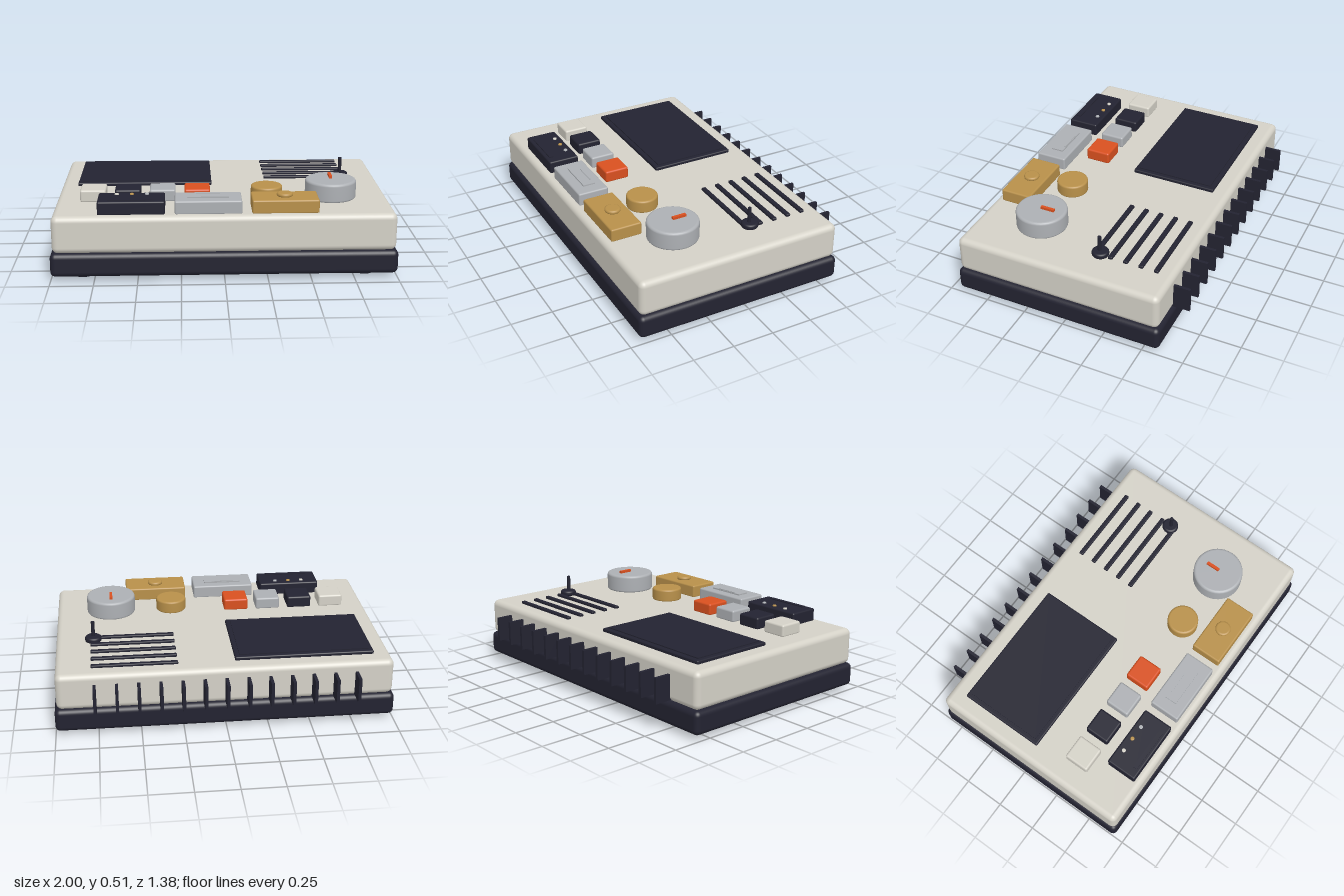
import * as THREE from 'three';
import { RoundedBoxGeometry } from 'three/addons/geometries/RoundedBoxGeometry.js';

const mat = (name, color) => {
  const m = new THREE.MeshStandardMaterial({ color });
  m.name = name;
  return m;
};

export function createModel() {
  const root = new THREE.Group();
  root.name = 'controlConsole';
  const cream = mat('cream', 0xd4d1c7);
  const dark = mat('charcoal', 0x232331);
  const grey = mat('grey', 0xadb0b4);
  const brass = mat('brass', 0xb8904a);
  const orange = mat('orange', 0xd9501f);
  const DECK = 0.39;

  const add = (name, geo, material, x, y, z) => {
    const m = new THREE.Mesh(geo, material);
    m.name = name;
    m.position.set(x, y, z);
    root.add(m);
    return m;
  };
  // Box given by its centre in plan and its bottom and top heights
  const box = (name, material, x, z, w, d, y0, y1, r = 0) => add(name,
    r ? new RoundedBoxGeometry(w, y1 - y0, d, 4, r) : new THREE.BoxGeometry(w, y1 - y0, d),
    material, x, (y0 + y1) / 2, z);
  // Round part with softened rims, its bottom at y0
  const disc = (name, material, x, z, r, y0, y1, b = 0.01) => {
    const h = y1 - y0;
    const pts = [[0, 0], [r - b, 0]];
    for (let i = 0; i <= 4; i++) {
      const a = (i / 4) * Math.PI / 2;
      pts.push([r - b + b * Math.sin(a), b - b * Math.cos(a)]);
    }
    for (let i = 0; i <= 4; i++) {
      const a = (i / 4) * Math.PI / 2;
      pts.push([r - b + b * Math.cos(a), h - b + b * Math.sin(a)]);
    }
    pts.push([r - b, h], [0, h]);
    return add(name, new THREE.LatheGeometry(pts.map(p => new THREE.Vector2(...p)), 40), material, x, y0, z);
  };

  // Casing
  box('base', dark, 0, 0.045, 2, 1.29, 0.033, 0.172, 0.03);
  box('upperBody', cream, 0, 0.045, 1.975, 1.27, 0.17, DECK, 0.035);
  for (const x of [-0.82, 0.82]) {
    for (const z of [0.546, -0.456]) disc('foot', dark, x, z, 0.07, 0.005, 0.04, 0.012);
  }

  // Cooling fins along the back
  for (let i = 0; i < 13; i++) {
    box('coolingFin', dark, -0.765 + i * 0.1275, -0.635, 0.018, 0.11, 0.18, 0.33);
  }

  // Display
  box('displayFrame', dark, -0.472, -0.225, 0.825, 0.53, 0.385, 0.41, 0.008);
  box('displayGlass', dark, -0.472, -0.225, 0.77, 0.475, 0.408, 0.416);

  // Speaker slots
  for (let i = 0; i < 5; i++) {
    box('speakerSlot', dark, 0.527, -0.485 + i * 0.0945, 0.505, 0.028, 0.385, 0.405, 0.006);
  }

  // Small joystick
  disc('joystickBase', dark, 0.762, -0.135, 0.05, 0.388, 0.422, 0.012);
  add('joystickStem', new THREE.CylinderGeometry(0.011, 0.011, 0.1, 16), dark, 0.762, 0.465, -0.13);

  // Row of keys
  [cream, dark, grey, orange].forEach((m, i) => {
    box('key', m, -0.767 + i * 0.205, 0.302, 0.152, 0.152, 0.385, 0.46, 0.012);
  });

  // Knobs
  disc('smallKnob', brass, 0.262, 0.303, 0.094, 0.385, 0.465, 0.012);
  disc('largeKnob', grey, 0.645, 0.303, 0.152, 0.385, 0.5, 0.015);
  box('knobPointer', orange, 0.645, 0.263, 0.018, 0.085, 0.495, 0.515);

  // Front modules
  const moduleZ = 0.541;
  box('darkModule', dark, -0.533, moduleZ, 0.385, 0.19, 0.385, 0.466, 0.01);
  box('greyModule', grey, -0.092, moduleZ, 0.385, 0.19, 0.385, 0.466, 0.01);
  box('brassModule', brass, 0.35, moduleZ, 0.385, 0.19, 0.385, 0.466, 0.01);

  // Dark module: indicator studs and a bar
  [cream, brass, grey].forEach((m, i) => {
    disc('indicatorStud', m, -0.619 + i * 0.087, 0.487, 0.012, 0.462, 0.474, 0.004);
  });
  box('moduleBar', dark, -0.533, 0.602, 0.27, 0.025, 0.46, 0.472);

  // Grey module: raised plate with a ridge
  box('modulePlate', grey, -0.092, 0.536, 0.235, 0.075, 0.46, 0.474);
  box('plateRidge', grey, -0.092, 0.507, 0.14, 0.01, 0.472, 0.478);

  // Brass module: push button
  disc('pushButton', brass, 0.35, 0.537, 0.047, 0.462, 0.486, 0.011);

  return root;
}
